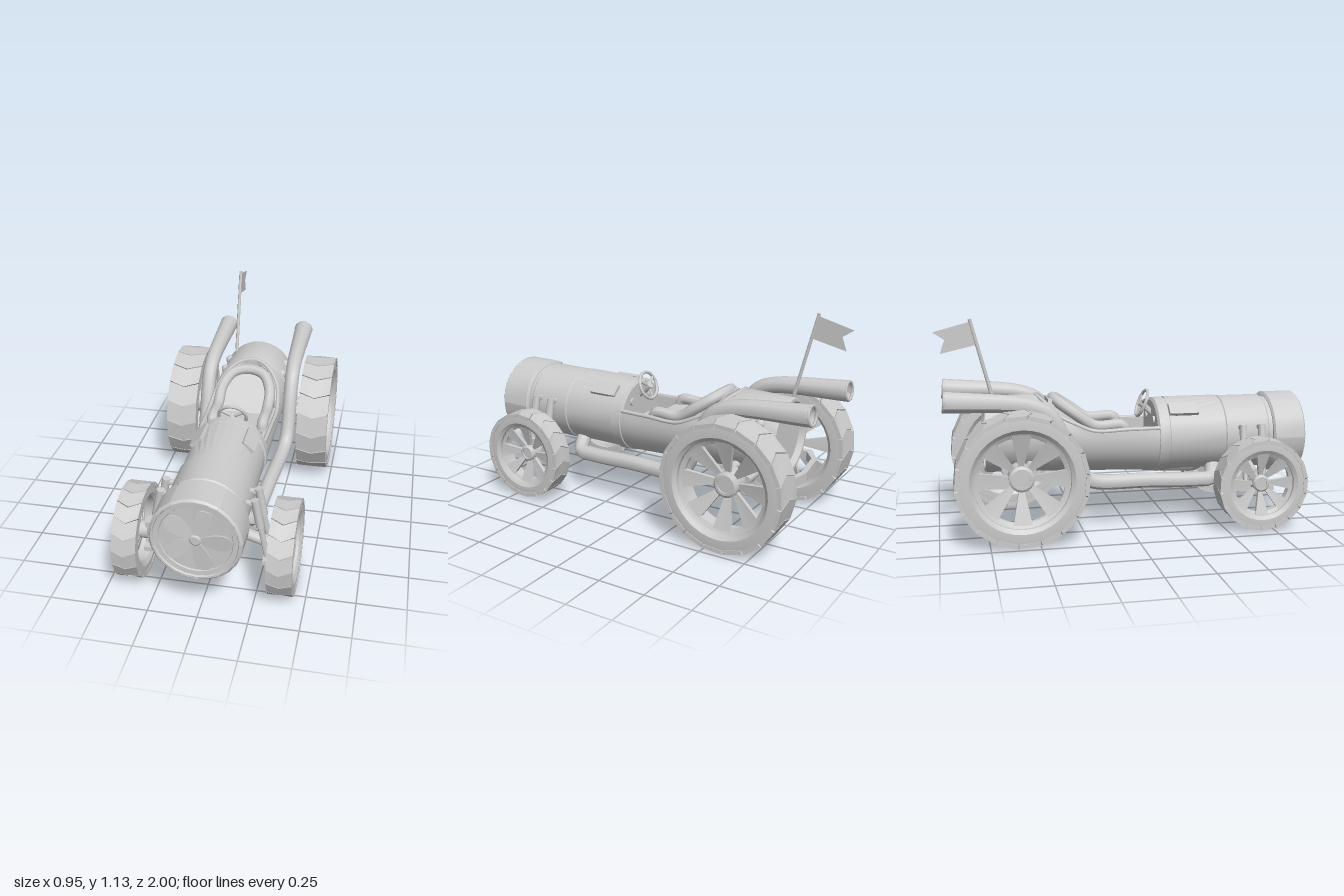
import * as THREE from 'three';
import { toCreasedNormals } from 'three/addons/utils/BufferGeometryUtils.js';

const grey = new THREE.MeshStandardMaterial({ color: 0xcccccc });
const greyFlat = new THREE.MeshStandardMaterial({ color: 0xcccccc, flatShading: true });
const greyThin = new THREE.MeshStandardMaterial({ color: 0xcccccc, side: THREE.DoubleSide });
const V = (x, y, z) => new THREE.Vector3(x, y, z);
const P = (x, y) => new THREE.Vector2(x, y);

function add(parent, name, geo, mat = grey) {
  const m = new THREE.Mesh(geo, mat);
  m.name = name;
  parent.add(m);
  return m;
}

// Moves each vertex of a geometry by a rule
function warp(geo, rule) {
  const p = geo.attributes.position, v = V(0, 0, 0);
  for (let i = 0; i < p.count; i++) {
    rule(v.fromBufferAttribute(p, i));
    p.setXYZ(i, v.x, v.y, v.z);
  }
  geo.computeVertexNormals();
  return geo;
}

// Turned part along z; profile is [radius, z] from back to front
function turned(profile, y, start = 0, arc = Math.PI * 2, seg = 24) {
  const g = new THREE.LatheGeometry(profile.map(q => P(...q)), seg, start, arc);
  return toCreasedNormals(g.rotateX(Math.PI / 2).translate(0, y, 0), 0.5);
}

function rod(parent, name, a, b, r0, r1 = r0, seg = 10) {
  const d = b.clone().sub(a);
  const m = add(parent, name, toCreasedNormals(new THREE.CylinderGeometry(r1, r0, d.length(), seg), 0.8));
  m.position.copy(a).addScaledVector(d, 0.5);
  m.quaternion.setFromUnitVectors(V(0, 1, 0), d.normalize());
  return m;
}

const tube = (pts, r, seg = 40, sides = 8) =>
  new THREE.TubeGeometry(new THREE.CatmullRomCurve3(pts), seg, r, sides);

// Wheel turning about x, with chevron tread blocks and a dished spoked rim
function makeWheel(name, R, w, rim, side) {
  const g = new THREE.Group(), n = 18, h = w * 0.485, R0 = R - 0.014;
  g.name = name;
  const prof = [[rim, -h * 0.8], [rim + 0.02, -h], [R - 0.035, -h], [R0, -h * 0.96], [R0, h * 0.96],
    [R - 0.035, h], [rim + 0.02, h], [rim, h * 0.8], [rim, -h * 0.8]];
  const tyre = new THREE.LatheGeometry(prof.map(q => P(...q)), n * 2).rotateZ(Math.PI / 2);
  add(g, 'tyre', toCreasedNormals(tyre, 0.4));
  const step = Math.PI * 2 / n, tip = 0.03 / R;
  for (let i = 0; i < n; i++) {
    const block = warp(new THREE.BoxGeometry(w, 0.022, 1, 2, 1, 1), v => {
      const a = (i + v.z * 0.95) * step - tip * Math.abs(v.x) / w * 2;
      const r = R - 0.011 + v.y;
      v.set(v.x, r * Math.cos(a), r * Math.sin(a));
    });
    add(g, 'treadBlock', toCreasedNormals(block, 0.5));
  }
  const hub = new THREE.Group();
  hub.name = 'rim';
  hub.rotation.y = side > 0 ? 0 : Math.PI;
  g.add(hub);
  for (let i = 0; i < 8; i++) {
    const spoke = warp(new THREE.BoxGeometry(0.02, 1, 1, 1, 3, 3), v => {
      const t = v.y + 0.5, r = rim * (0.2 + 0.8 * t), a = i * Math.PI / 4 + v.z * 0.42;
      v.set(v.x + w * 0.2 - (rim - r) * 0.3, r * Math.cos(a), r * Math.sin(a));
    });
    add(hub, 'spoke', toCreasedNormals(spoke, 0.5));
  }
  const bandProf = [[rim * 0.9, w * 0.1], [rim * 1.01, w * 0.1], [rim * 1.01, w * 0.28], [rim * 0.9, w * 0.2], [rim * 0.9, w * 0.1]];
  add(hub, 'rimBand', toCreasedNormals(
    new THREE.LatheGeometry(bandProf.map(q => P(...q)), n * 2).rotateZ(-Math.PI / 2), 0.5));
  const capProf = [[0, -w * 0.5], [rim * 0.27, -w * 0.5], [rim * 0.27, 0.012], [rim * 0.22, 0.02],
    [rim * 0.17, 0.02], [rim * 0.17, 0.012], [0, 0.012]];
  add(hub, 'hub', toCreasedNormals(
    new THREE.LatheGeometry(capProf.map(q => P(...q)), 16).rotateZ(-Math.PI / 2), 0.5));
  return g;
}

// Cockpit tub: centre, radius and upper edge height along z
const axisY = z => 0.465 + 0.035 * (0.2 - z) / 0.66;
const radius = z => 0.2 + 0.01 * (0.2 - z) / 0.66;
const edgeY = z => z > -0.2 ? 0.53 : z > -0.36 ? 0.53 + (-0.2 - z) * 0.5 : 0.61 + (-0.36 - z) * 0.93;
const edgeX = z => Math.sqrt(radius(z) ** 2 - (edgeY(z) - axisY(z)) ** 2);

function tubGeometry() {
  const zs = [-0.46, -0.42, -0.39, -0.36, -0.3, -0.25, -0.2, -0.1, 0, 0.1, 0.2], N = 20, M = N + 5;
  const pos = [], idx = [];
  zs.forEach((z, i) => {
    const y = edgeY(z), t = Math.asin((y - axisY(z)) / radius(z)), xi = Math.max(edgeX(z) - 0.025, 0.02);
    for (let j = 0; j <= N; j++) {
      const a = Math.PI - t + (Math.PI + 2 * t) * j / N;
      pos.push(radius(z) * Math.cos(a), axisY(z) + radius(z) * Math.sin(a), z);
    }
    pos.push(xi, y, z, xi, 0.46, z, -xi, 0.46, z, -xi, y, z);
    if (i) for (let j = 0; j < M; j++) {
      const a = (i - 1) * M + j, b = (i - 1) * M + (j + 1) % M;
      idx.push(a, b, b + M, a, b + M, a + M);
    }
  });
  const g = new THREE.BufferGeometry();
  g.setAttribute('position', new THREE.Float32BufferAttribute(pos, 3));
  g.setIndex(idx);
  return toCreasedNormals(g, 0.5);
}

export function createModel() {
  const car = new THREE.Group();
  car.name = 'racer';

  // Nose drum with raised panels and a fan
  add(car, 'noseDrum', turned([[0, 0.82], [0.205, 0.82], [0.22, 0.83], [0.22, 0.985], [0.215, 0.998], [0.208, 0.998],
    [0.204, 0.99], [0.18, 0.988], [0.177, 0.982], [0, 0.982]], 0.457));
  for (let i = 0; i < 6; i++)
    add(car, 'nosePanel', turned([[0.215, 0.818], [0.226, 0.826], [0.226, 0.99], [0.216, 1]], 0.457,
      i * Math.PI / 3 - Math.PI / 6 + 0.015, Math.PI / 3 - 0.03, 4), greyThin);
  const blade = new THREE.Shape().moveTo(0.02, -0.014);
  blade.bezierCurveTo(0.08, -0.055, 0.165, -0.06, 0.173, -0.015);
  blade.bezierCurveTo(0.178, 0.045, 0.13, 0.065, 0.02, 0.014);
  const bladeGeo = new THREE.ExtrudeGeometry(blade, { depth: 0.006, bevelEnabled: false }).rotateX(0.1);
  for (let i = 0; i < 5; i++) {
    const b = add(car, 'fanBlade', bladeGeo, greyFlat);
    b.position.set(0, 0.457, 0.986);
    b.rotation.z = i * Math.PI * 0.4;
  }
  add(car, 'fanHub', turned([[0.03, 0.97], [0.03, 0.993], [0.022, 0.999], [0, 0.999]], 0.457, 0, Math.PI * 2, 12));

  // Engine cover, cowl and dashboard
  add(car, 'engineCover', turned([[0, 0.17], [0.19, 0.17], [0.206, 0.18], [0.206, 0.235], [0.198, 0.24], [0.198, 0.55],
    [0.204, 0.555], [0.204, 0.79], [0.195, 0.8], [0.195, 0.83]], 0.465));
  add(car, 'hoodPanel', warp(new THREE.CylinderGeometry(0.208, 0.208, 0.3, 8, 1, true, 0, 1).toNonIndexed(), v => {
    const a = (Math.atan2(v.x, v.z) - 0.5) * (v.y < 0 ? 1.9 : 1.1);
    v.set(0.207 * Math.sin(a), 0.465 + 0.207 * Math.cos(a), 0.39 + v.y);
  }), greyThin);
  for (const s of [-1, 1]) {
    const vent = add(car, 'hoodVent', new THREE.BoxGeometry(0.075, 0.02, 0.16));
    vent.position.set(s * 0.135, 0.622, 0.32);
    vent.rotation.z = -s * 0.72;
  }
  for (const x of [-0.09, 0.09]) {
    const dial = add(car, 'dial', new THREE.CylinderGeometry(0.022, 0.022, 0.02, 12));
    dial.position.set(x, 0.56, 0.168);
    dial.rotation.x = Math.PI / 2;
  }

  // Cockpit tub, its rim and the tail
  add(car, 'cockpitTub', tubGeometry());
  const edge = [0.18, 0, -0.18, -0.28, -0.36, -0.41, -0.45];
  const rimPts = edge.map(z => V(edgeX(z) - 0.008, edgeY(z), z));
  rimPts.push(V(0, 0.706, -0.47), ...rimPts.slice().reverse().map(p => V(-p.x, p.y, p.z)));
  add(car, 'cockpitRim', tube(rimPts, 0.012, 60, 6));
  add(car, 'tail', turned([[0, -0.715], [0.18, -0.715], [0.185, -0.75], [0.2, -0.75], [0.204, -0.735],
    [0.211, -0.47], [0.205, -0.455], [0, -0.455]], 0.5));

  // Seat with padded bolster
  const sp = [[-0.01, 0.45], [-0.01, 0.52], [0.18, 0.505], [0.27, 0.57], [0.37, 0.69], [0.41, 0.69], [0.41, 0.45]];
  const seat = new THREE.ExtrudeGeometry(new THREE.Shape(sp.map(q => P(...q))),
    { depth: 0.27, steps: 6, bevelEnabled: false }).rotateY(Math.PI / 2).translate(-0.135, 0, 0);
  add(car, 'seat', toCreasedNormals(warp(seat, v => { if (v.y > 0.6) v.x *= 0.55; }), 0.5));
  const bol = [[0.14, 0.5, 0.0], [0.142, 0.545, -0.015], [0.142, 0.55, -0.17], [0.138, 0.615, -0.27], [0.09, 0.67, -0.35]];
  const bolster = [...bol.map(p => V(...p)), V(0, 0.686, -0.375), ...bol.slice().reverse().map(([x, y, z]) => V(-x, y, z))];
  add(car, 'seatBolster', tube(bolster, 0.031, 50));

  // Steering wheel
  const steering = new THREE.Group();
  steering.name = 'steeringWheel';
  steering.position.set(0, 0.642, 0.12);
  steering.rotation.x = 0.38;
  car.add(steering);
  add(steering, 'steeringRim', new THREE.TorusGeometry(0.075, 0.009, 8, 24));
  for (let i = 0; i < 3; i++) {
    const a = Math.PI / 6 + i * Math.PI * 2 / 3;
    rod(steering, 'steeringSpoke', V(0, 0, 0), V(0.074 * Math.cos(a), 0.074 * Math.sin(a), 0), 0.01, 0.007, 6);
  }
  rod(steering, 'steeringColumn', V(0, 0, -0.012), V(0, -0.04, 0.09), 0.02, 0.015);

  for (const s of [-1, 1]) {
    // Exhaust pipe widening to an open mouth
    const path = new THREE.CatmullRomCurve3([[0.1, 0.3, 0.5], [0.17, 0.242, 0.47], [0.187, 0.24, 0.38],
      [0.21, 0.255, 0.1], [0.235, 0.272, -0.2], [0.243, 0.315, -0.265], [0.245, 0.55, -0.37], [0.245, 0.64, -0.43],
      [0.243, 0.683, -0.53], [0.24, 0.717, -0.958]].map(([x, y, z]) => V(s * x, y, z)));
    const segs = 70, sides = 10, pipe = new THREE.TubeGeometry(path, segs, 0.041, sides);
    let k = 0;
    add(car, 'exhaustPipe', warp(pipe, v => {
      const u = Math.floor(k++ / (sides + 1)) / segs, c = path.getPointAt(u);
      v.sub(c).multiplyScalar(1 + 0.38 * Math.max(0, (u - 0.7) / 0.3)).add(c);
    }), greyThin);
    const lip = add(car, 'exhaustLip', new THREE.TorusGeometry(0.05, 0.008, 6, 10));
    lip.position.set(s * 0.24, 0.717, -0.955);
    lip.rotation.x = 0.09;

    // Wheels
    const front = makeWheel('frontWheel', 0.244, 0.125, 0.168, s);
    front.position.set(s * 0.382, 0.252, 0.682);
    const rear = makeWheel('rearWheel', 0.338, 0.175, 0.245, s);
    rear.position.set(s * 0.388, 0.339, -0.585);
    car.add(front, rear);

    // Front suspension
    rod(car, 'frontAxle', V(s * 0.1, 0.325, 0.682), V(s * 0.34, 0.252, 0.682), 0.03);
    add(car, 'frontUpright', new THREE.BoxGeometry(0.03, 0.12, 0.06)).position.set(s * 0.315, 0.255, 0.682);
    add(car, 'shockBracket', new THREE.BoxGeometry(0.04, 0.025, 0.2)).position.set(s * 0.3, 0.205, 0.682);
    for (const z of [0.63, 0.735]) {
      rod(car, 'shockBody', V(s * 0.262, 0.39, z), V(s * 0.232, 0.54, z), 0.021);
      rod(car, 'shockRod', V(s * 0.3, 0.2, z), V(s * 0.26, 0.4, z), 0.014);
      rod(car, 'shockMount', V(s * 0.18, 0.52, z), V(s * 0.235, 0.52, z), 0.015);
    }

    // Rear axle, trailing arm, crossbar half and tail bolts
    rod(car, 'rearAxle', V(0, 0.34, -0.585), V(s * 0.36, 0.34, -0.585), 0.035);
    for (const z of [-0.52, -0.655]) {
      rod(car, 'rearArm', V(s * 0.15, 0.36, z), V(s * 0.31, 0.35, z), 0.022);
      add(car, 'tailBolt', new THREE.SphereGeometry(0.027, 10, 8)).position.set(s * 0.17, 0.605, z);
    }
    const bar = new THREE.Shape([P(0, 0.845), P(s * 0.2, 0.815), P(s * 0.32, 0.74), P(s * 0.32, 0.6),
      P(s * 0.285, 0.6), P(s * 0.285, 0.72), P(s * 0.2, 0.785), P(0, 0.815)]);
    add(car, 'rearCrossbar', new THREE.ExtrudeGeometry(bar, { depth: 0.05, bevelEnabled: false })
      .rotateX(-Math.PI / 2).translate(0, 0.275, 0));
  }

  // Pennant on a leaning pole
  rod(car, 'flagPole', V(-0.137, 0.64, -0.685), V(-0.137, 1.125, -0.812), 0.01, 0.009, 8);
  const pennant = [[0.808, 1.112], [1, 1.06], [0.94, 1.02], [0.965, 0.95], [0.778, 0.993]];
  add(car, 'flag', new THREE.ExtrudeGeometry(new THREE.Shape(pennant.map(q => P(...q))),
    { depth: 0.004, bevelEnabled: false }).rotateY(Math.PI / 2).translate(-0.139, 0, 0));
  return car;
}
